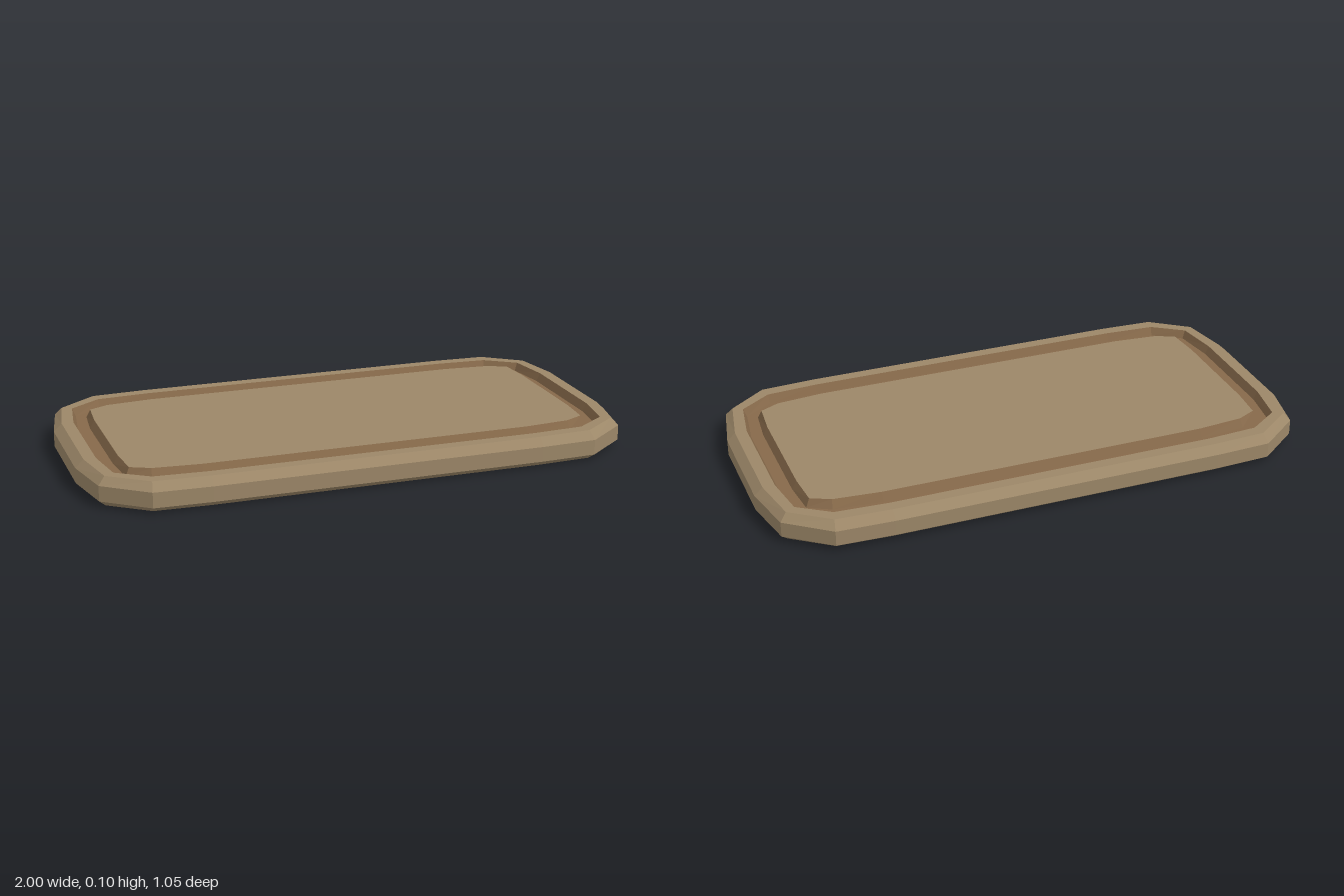
import * as THREE from 'three';

// One quarter of the outline: [x, z, inward x, inward z] (shift per unit of inset)
const QUARTER = [
  [1.0, 0.2, 1.0, 0.0],
  [0.96, 0.395, 0.8, 0.47],
  [0.805, 0.515, 0.23, 1.05],
  [0.6, 0.523, 0.0, 1.0],
];

// Full outline at a given inset and height, counter-clockwise seen from above
function ring([inset, y]) {
  const points = [];
  for (const [sx, sz, flip] of [[1, -1, 0], [-1, -1, 1], [-1, 1, 0], [1, 1, 1]]) {
    const quarter = flip ? [...QUARTER].reverse() : QUARTER;
    for (const [x, z, dx, dz] of quarter) {
      points.push([sx * (x - inset * dx), y, sz * (z - inset * dz)]);
    }
  }
  return points;
}

// Bands between successive rings, with optional flat caps
function loft(name, color, profile, { bottom = false, top = false } = {}) {
  const rings = profile.map(ring);
  const n = rings[0].length;
  const out = [];
  const tri = (a, b, c) => out.push(...a, ...b, ...c);
  for (let i = 0; i < n; i++) {
    const j = (i + 1) % n;
    for (let k = 0; k + 1 < rings.length; k++) {
      const low = rings[k], up = rings[k + 1];
      tri(low[i], low[j], up[j]);
      tri(low[i], up[j], up[i]);
    }
    if (bottom) tri([0, profile[0][1], 0], rings[0][j], rings[0][i]);
    const last = rings.length - 1;
    if (top) tri([0, profile[last][1], 0], rings[last][i], rings[last][j]);
  }
  const geometry = new THREE.BufferGeometry();
  geometry.setAttribute('position', new THREE.Float32BufferAttribute(out, 3));
  geometry.computeVertexNormals();
  const mesh = new THREE.Mesh(geometry, new THREE.MeshStandardMaterial({ color, flatShading: true }));
  mesh.name = name;
  return mesh;
}

export function createModel() {
  const WOOD = 0x9c8768, GROOVE = 0x86694a;
  const TOP = 0.105, FLOOR = 0.075;
  const group = new THREE.Group();
  group.name = 'board';

  // Underside, bevelled edge and raised rim
  group.add(loft('boardBody', WOOD,
    [[0.03, 0], [0, 0.022], [0, 0.077], [0.03, TOP], [0.073, TOP]], { bottom: true }));

  // Channel running around the top, with sloped walls
  group.add(loft('juiceGroove', GROOVE,
    [[0.073, TOP], [0.088, FLOOR], [0.132, FLOOR], [0.149, TOP]]));

  // Flat cutting surface inside the channel
  group.add(loft('cuttingSurface', WOOD, [[0.149, TOP]], { top: true }));

  return group;
}
